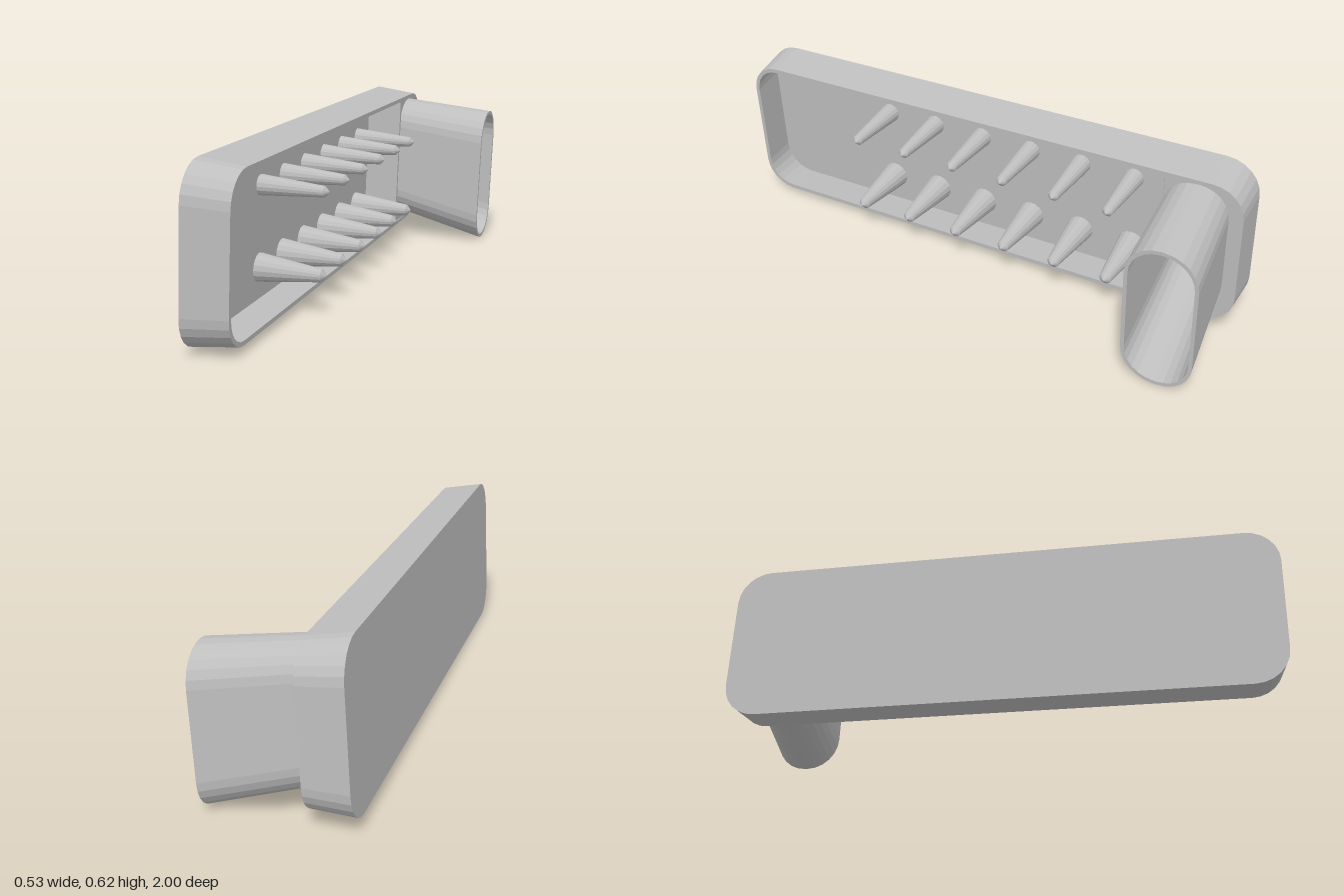
import * as THREE from 'three';

// Outline of a rounded rectangle: [y, z] pairs, counter-clockwise seen from +x
function outline({ y, z, h, l, r }, steps = 6) {
  const pts = [];
  const corners = [[1, 1], [-1, 1], [-1, -1], [1, -1]];
  corners.forEach(([sy, sz], q) => {
    for (let i = 0; i <= steps; i++) {
      const a = (q + i / steps) * Math.PI / 2;
      pts.push([
        y + sy * (h / 2 - r) + r * Math.cos(a),
        z + sz * (l / 2 - r) + r * Math.sin(a),
      ]);
    }
  });
  return pts;
}

// Skin through rounded-rectangle sections placed along x
function loft(sections, capped) {
  const rings = sections.map((s) => outline(s).map(([y, z]) => [s.x, y, z]));
  const n = rings[0].length;
  const pos = [];
  const tri = (a, b, c) => pos.push(...a, ...b, ...c);
  for (let k = 0; k < rings.length - 1; k++) {
    for (let i = 0; i < n; i++) {
      const j = (i + 1) % n;
      const [a, b, c, d] = [rings[k][i], rings[k][j], rings[k + 1][j], rings[k + 1][i]];
      tri(a, b, c);
      tri(a, c, d);
    }
  }
  if (capped) {
    const first = rings[0], last = rings[rings.length - 1];
    for (let i = 1; i < n - 1; i++) {
      tri(first[0], first[i + 1], first[i]);
      tri(last[0], last[i], last[i + 1]);
    }
  }
  const g = new THREE.BufferGeometry();
  g.setAttribute('position', new THREE.Float32BufferAttribute(pos, 3));
  g.computeVertexNormals();
  return g;
}

export function createModel() {
  const model = new THREE.Group();
  model.name = 'pegTrayWithSpout';
  const grey = new THREE.MeshStandardMaterial({ color: 0xbebebe });
  grey.name = 'plainGrey';

  // Tilted frame: x = out of the tray, y = tray height, z = tray length
  const body = new THREE.Group();
  body.name = 'tiltedBody';
  const length = new THREE.Vector3(0.117, -0.017, 0.993).normalize();
  const out = new THREE.Vector3(0.045, 0.999, 0.012).cross(length).normalize();
  const up = length.clone().cross(out);
  body.quaternion.setFromRotationMatrix(new THREE.Matrix4().makeBasis(out, up, length));
  body.position.set(-0.14, 0.316, 0.0175);
  model.add(body);

  const add = (geometry, name) => {
    const mesh = new THREE.Mesh(geometry, grey);
    mesh.name = name;
    body.add(mesh);
    return mesh;
  };

  // Tray shell with drafted walls and an open front
  const depth = 0.15, floor = 0.015;
  add(loft([
    { x: 0, y: 0, z: 0, h: 0.576, l: 1.968, r: 0.12 },
    { x: depth, y: 0, z: -0.009, h: 0.54, l: 1.946, r: 0.11 },
    { x: depth, y: 0, z: -0.009, h: 0.51, l: 1.916, r: 0.095 },
    { x: floor, y: 0, z: -0.002, h: 0.542, l: 1.936, r: 0.105 },
  ], true), 'tray');

  // Flared spout, running from the tray floor outwards
  const wall = 0.013;
  const base = { x: 0.008, y: 0.04, z: -0.813, h: 0.45, l: 0.214, r: 0.1 };
  const mouth = { x: 0.49, y: -0.041, z: -0.843, h: 0.533, l: 0.243, r: 0.116 };
  const inset = (s) => ({ ...s, h: s.h - 2 * wall, l: s.l - 2 * wall, r: s.r - wall });
  add(loft([base, mouth, inset(mouth), inset(base)], false), 'spout');

  // Cover over the end compartment, with an opening for the spout
  const t = (depth - 0.01) / 0.48;
  const mix = {};
  for (const k of ['y', 'z', 'h', 'l', 'r']) mix[k] = THREE.MathUtils.lerp(base[k], mouth[k], t);
  const opening = inset(mix);
  const end = -0.974, edge = -0.7, half = 0.257, r = 0.1;
  const cover = new THREE.Shape();
  cover.moveTo(-edge, -half);
  cover.lineTo(-edge, half);
  cover.lineTo(-end - r, half);
  cover.absarc(-end - r, half - r, r, Math.PI / 2, 0, true);
  cover.absarc(-end - r, r - half, r, 0, -Math.PI / 2, true);
  cover.closePath();
  cover.holes.push(new THREE.Path(outline(opening).map(([y, z]) => new THREE.Vector2(-z, y))));
  const coverGeo = new THREE.ExtrudeGeometry(cover, { depth: 0.012, bevelEnabled: false, curveSegments: 6 });
  coverGeo.rotateY(Math.PI / 2);
  add(coverGeo, 'compartmentCover').position.x = depth - 0.015;

  // Cross wall closing the compartment
  const partition = add(new THREE.BoxGeometry(depth - floor, 0.516, 0.014), 'partition');
  partition.position.set((depth + floor) / 2, 0, -0.705);

  // Two rows of tapered pegs with pointed tips
  const rows = [
    { name: 'upperPeg', y: 0.12, radius: 0.036, tip: 0.019 },
    { name: 'lowerPeg', y: -0.16, radius: 0.05, tip: 0.022 },
  ];
  for (const row of rows) {
    const profile = [[row.radius, floor - 0.005], [row.tip, 0.237], [0.003, 0.253], [0, 0.253]]
      .map(([x, y]) => new THREE.Vector2(x, y));
    const peg = new THREE.LatheGeometry(profile, 16).toNonIndexed();
    peg.computeVertexNormals();
    peg.rotateZ(-Math.PI / 2);
    for (let i = 0; i < 6; i++) {
      add(peg, row.name).position.set(0, row.y, 0.435 - i * 0.198);
    }
  }
  return model;
}
